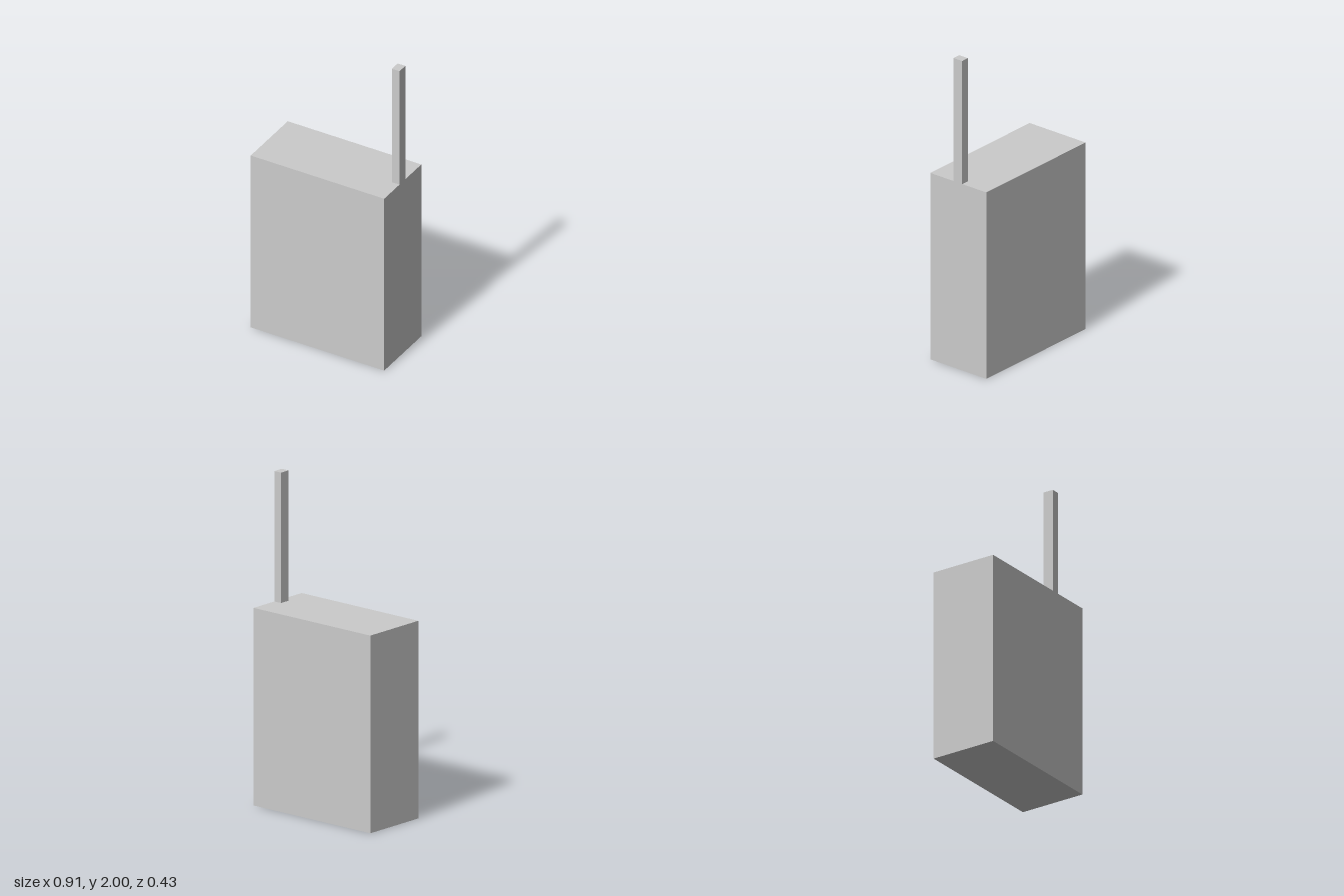
import * as THREE from 'three';

export function createModel() {
  const group = new THREE.Group();
  const material = new THREE.MeshStandardMaterial({ color: 0xcccccc, flatShading: true });

  // Adds a box given its size and the centre of its base
  function addBox(name, [w, h, d], [x, y, z]) {
    const mesh = new THREE.Mesh(new THREE.BoxGeometry(w, h, d), material);
    mesh.name = name;
    mesh.position.set(x, y + h / 2, z);
    group.add(mesh);
  }

  const width = 0.91, bodyHeight = 1.205, mastWidth = 0.052;

  // Main block
  addBox('body', [width, bodyHeight, 0.427], [0, 0, 0]);

  // Thin square mast, flush with the left side of the body
  addBox('antenna', [mastWidth, 2 - bodyHeight, 0.067], [(width - mastWidth) / 2, bodyHeight, 0.004]);

  return group;
}
